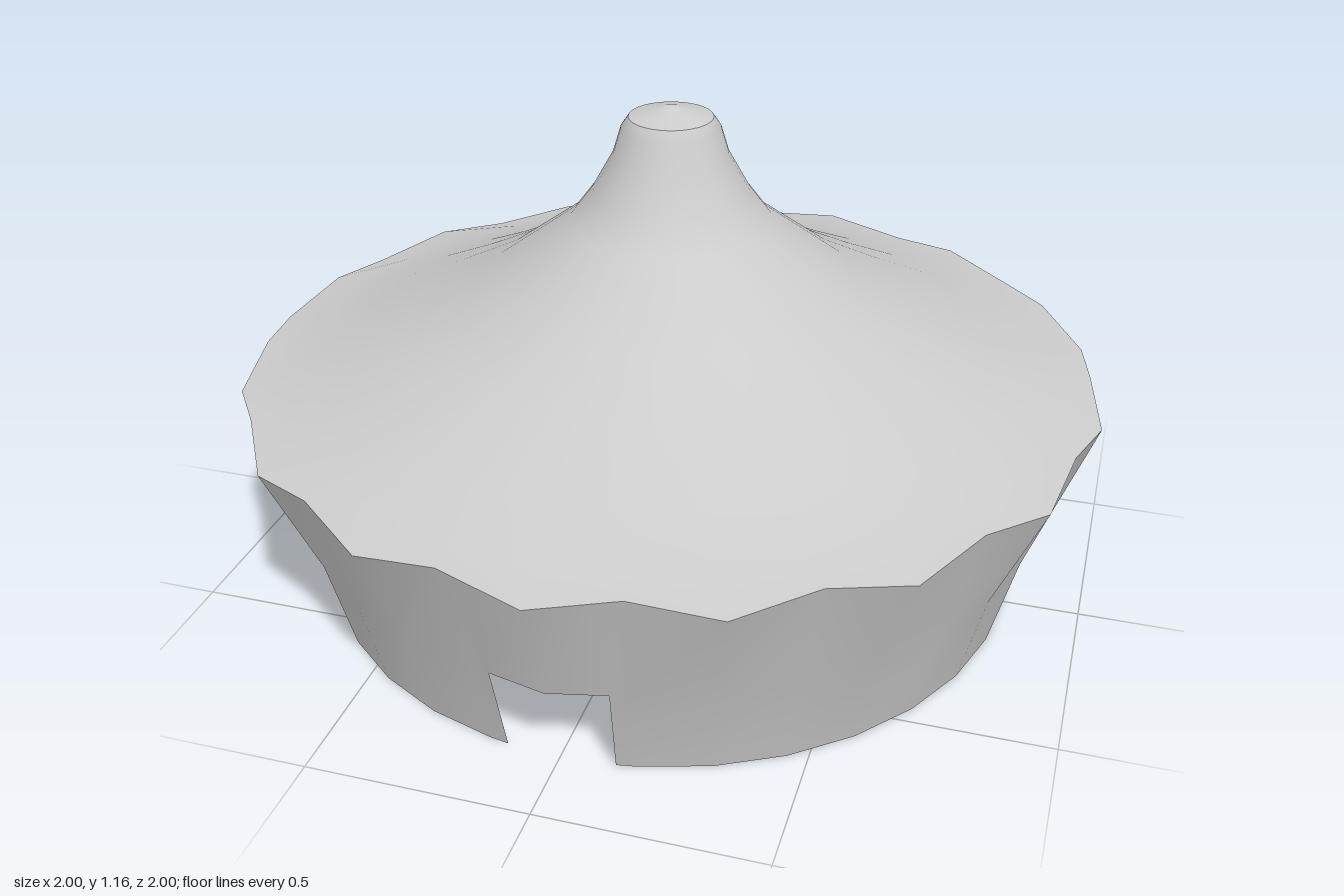
import * as THREE from 'three';

const SIDES = 32;
const STEP = (Math.PI * 2) / SIDES;
const DOOR = 0.147; // half angle of each doorway

const material = () => new THREE.MeshStandardMaterial({ color: 0xcccccc, side: THREE.DoubleSide });

const polar = (r, y, a) => new THREE.Vector3(r * Math.sin(a), y, r * Math.cos(a));

// Eave corners: long low points alternate with short high ones
const eaveCorner = (i) => (i % 2 === 0 ? polar(1, 0.5, i * STEP) : polar(0.975, 0.53, i * STEP));

// Point anywhere on the scalloped eave line
function eave(a) {
  const i = Math.floor(a / STEP + 1e-6);
  return eaveCorner(i).lerp(eaveCorner(i + 1), Math.max(0, a / STEP - i));
}

// Flaring wall with a doorway at the front and one at the back
function wallGeometry() {
  const full = Math.PI * 2;
  const angles = [DOOR, Math.PI - DOOR, Math.PI + DOOR, full - DOOR];
  for (let i = 0; i < SIDES; i++) angles.push(i * STEP);
  angles.sort((a, b) => a - b);

  const positions = [];
  const index = [];
  const n = angles.length;
  angles.forEach((a, i) => {
    const lintel = a === 0 ? 0.9 : 0.88;
    for (const p of [polar(0.82, 0, a), polar(lintel, 0.228, a), eave(a)]) positions.push(p.x, p.y, p.z);

    const next = (i + 1) % n;
    const mid = (a + (next === 0 ? full : angles[next])) / 2;
    const isDoor = Math.abs(Math.sin(mid)) < Math.sin(DOOR);
    for (let row = isDoor ? 1 : 0; row < 2; row++) {
      const p = i * 3 + row;
      const q = next * 3 + row;
      index.push(p, q, q + 1, p, q + 1, p + 1);
    }
  });

  const geometry = new THREE.BufferGeometry();
  geometry.setAttribute('position', new THREE.Float32BufferAttribute(positions, 3));
  geometry.setIndex(index);
  geometry.computeVertexNormals();
  return geometry;
}

// Sweeping tent roof whose lowest ring follows the eave line
function roofGeometry() {
  const profile = [
    [0.98, 0.515], [0.9, 0.53], [0.75, 0.583], [0.58, 0.665], [0.42, 0.75],
    [0.23, 0.893], [0.18, 0.96], [0.13, 1.05], [0.112, 1.11], [0.095, 1.135],
  ].map(([r, y]) => new THREE.Vector2(r, y));
  const geometry = new THREE.LatheGeometry(profile, SIDES);
  const position = geometry.attributes.position;
  for (let i = 0; i <= SIDES; i++) {
    const p = eaveCorner(i);
    position.setXYZ(i * profile.length, p.x, p.y, p.z);
  }
  return geometry;
}

export function createModel() {
  const group = new THREE.Group();
  const add = (name, geometry) => {
    const mesh = new THREE.Mesh(geometry, material());
    mesh.name = name;
    group.add(mesh);
    return mesh;
  };

  add('wall', wallGeometry());
  add('roof', roofGeometry());

  // Shallow cone closing the top of the roof
  const cap = add('roofCap', new THREE.ConeGeometry(0.095, 0.027, SIDES, 1, true));
  cap.position.y = 1.135 + 0.0135;

  return group;
}
